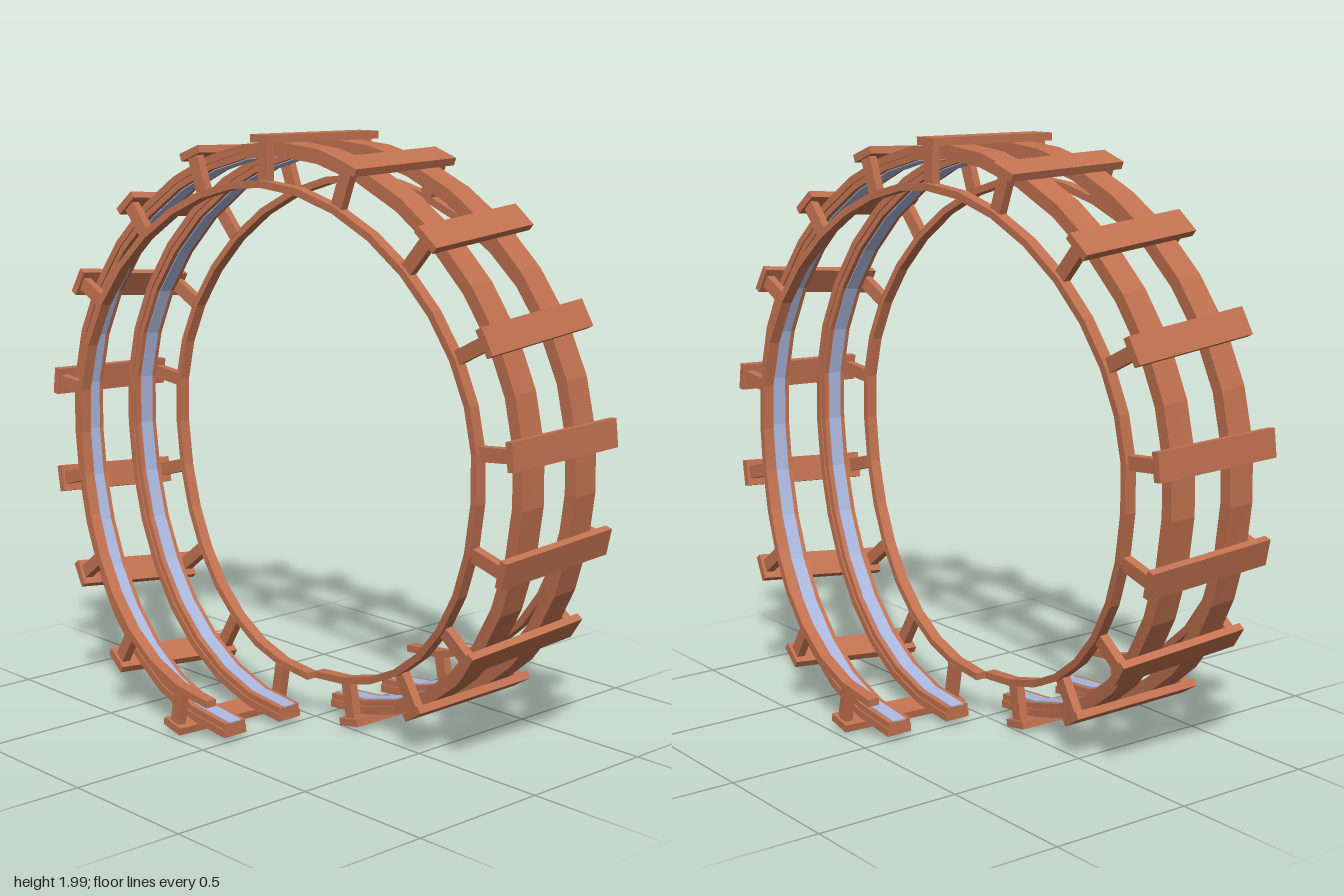
import * as THREE from 'three';

const CENTRE_Y = 0.994;   // height of the loop's axis
const RADIUS = 0.945;     // radius of the track's running line
const TIES = 17;
const DRIFT = 0.12;       // sideways shift per quarter of the loop

// Sideways position of the track: eased once per quarter turn (angle 0 = top)
function drift(a) {
  const q = Math.abs(a) / (Math.PI / 2);
  const n = Math.min(Math.floor(q), 1);
  const t = q - n;
  return Math.sign(a) * DRIFT * (n + t * t * (3 - 2 * t));
}

// Frame of the track at an angle: x = sideways, y = outward, z = along the track
function frame(a) {
  const e = 0.001;
  const slope = (drift(Math.min(a + e, Math.PI)) - drift(Math.max(a - e, -Math.PI))) / (2 * e);
  const out = new THREE.Vector3(0, Math.cos(a), Math.sin(a));
  const along = new THREE.Vector3(slope, -RADIUS * Math.sin(a), RADIUS * Math.cos(a)).normalize();
  const side = new THREE.Vector3().crossVectors(out, along);
  const origin = new THREE.Vector3(drift(a), CENTRE_Y, 0);
  return new THREE.Matrix4().makeBasis(side, out, along).setPosition(origin);
}

// Beam of rectangular section bent along the whole loop, between two radii
function bentBeam(width, inner, outer, offset) {
  const box = new THREE.BoxGeometry(width, outer - inner, 1, 1, 1, TIES * 2);
  const pos = box.attributes.position;
  const p = new THREE.Vector3();
  for (let i = 0; i < pos.count; i++) {
    p.fromBufferAttribute(pos, i);
    const a = p.z * 2 * Math.PI;
    p.set(p.x + offset, p.y + (inner + outer) / 2, 0).applyMatrix4(frame(a));
    pos.setXYZ(i, p.x, p.y, p.z);
  }
  const geometry = box.toNonIndexed();
  geometry.computeVertexNormals();
  return geometry;
}

export function createModel() {
  const wood = new THREE.MeshStandardMaterial({ color: 0xc27250 });
  wood.name = 'wood';
  const steel = new THREE.MeshStandardMaterial({ color: 0xabb8de });
  steel.name = 'steel';

  const model = new THREE.Group();
  model.name = 'trackLoop';
  const add = (parent, name, geometry, material) => {
    const mesh = new THREE.Mesh(geometry, material);
    mesh.name = name;
    parent.add(mesh);
    return mesh;
  };

  // Rails and handrails, mirrored about the track's middle
  for (const [label, s] of [['left', 1], ['right', -1]]) {
    add(model, label + 'RailBase', bentBeam(0.095, 0.946, 0.972, s * 0.12), wood);
    add(model, label + 'RailTop', bentBeam(0.085, 0.925, 0.946, s * 0.12), wood);
    add(model, label + 'RailStrip', bentBeam(0.05, 0.922, 0.927, s * 0.12), steel);
    add(model, label + 'Handrail', bentBeam(0.04, 0.828, 0.852, s * 0.222), wood);
  }

  // Cross ties with a handrail post at each end
  const tieGeometry = new THREE.BoxGeometry(0.48, 0.026, 0.092);
  const postGeometry = new THREE.BoxGeometry(0.03, 0.128, 0.045);
  for (let i = 0; i < TIES; i++) {
    const a = (i - (TIES - 1) / 2) * (2 * Math.PI / TIES);
    const support = new THREE.Group();
    support.name = 'tieAndPosts';
    support.applyMatrix4(frame(a));
    add(support, 'tie', tieGeometry, wood).position.y = 0.983;
    for (const s of [1, -1]) {
      add(support, 'handrailPost', postGeometry, wood).position.set(s * 0.215, 0.91, 0);
    }
    model.add(support);
  }
  return model;
}
